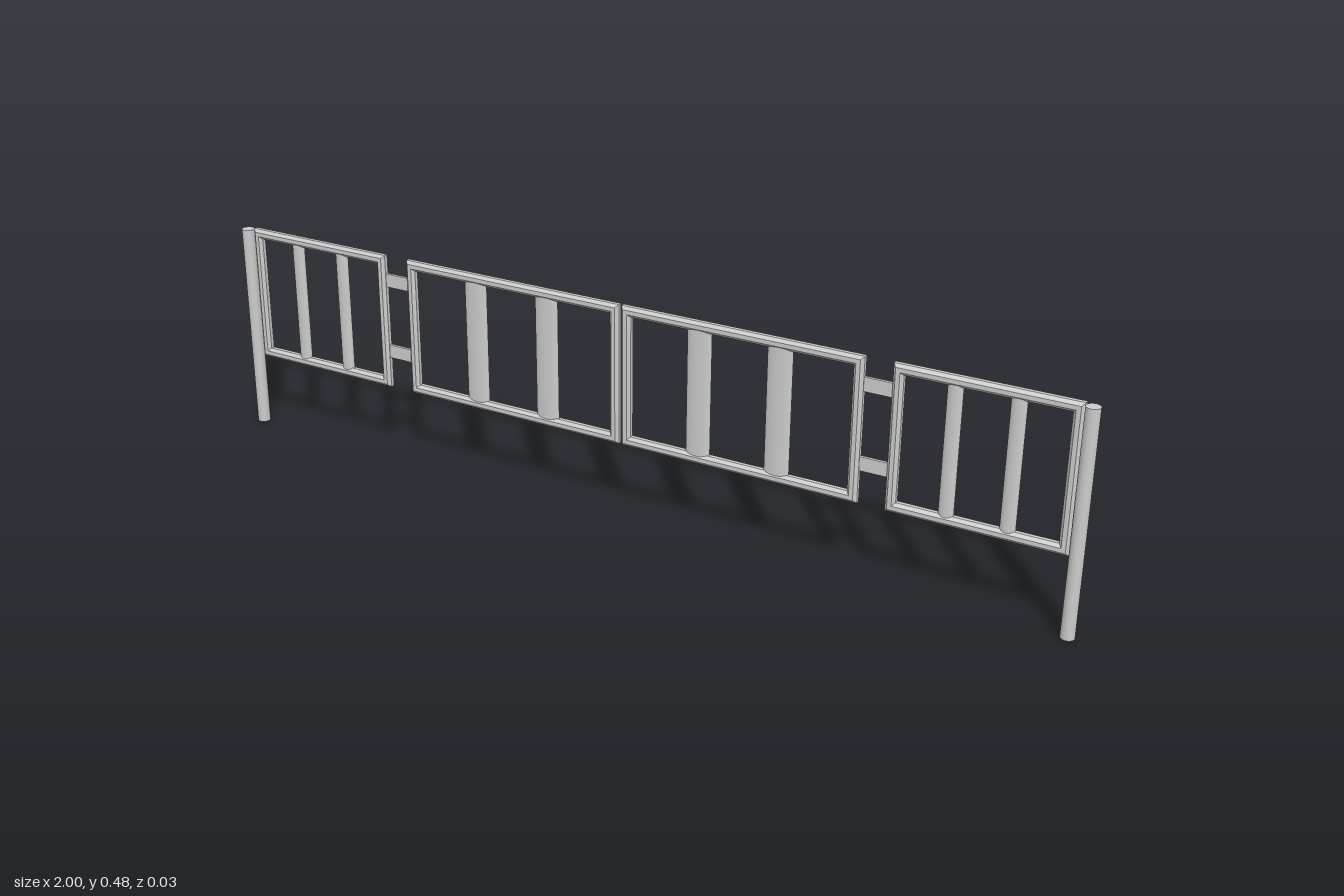
import * as THREE from 'three';

const FRAME_Z = -0.0063;   // plane of the panels, slightly behind the posts
const TUBE = 0.011;        // half thickness of the frame tube
const BOTTOM = 0.167, TOP = 0.479;
const MID_Y = (BOTTOM + TOP) / 2;

const smooth = new THREE.MeshStandardMaterial({ color: 0xcccccc });
const faceted = new THREE.MeshStandardMaterial({ color: 0xcccccc, flatShading: true });

function addMesh(parent, name, geometry, material, x, y, z) {
  const mesh = new THREE.Mesh(geometry, material);
  mesh.name = name;
  mesh.position.set(x, y, z);
  parent.add(mesh);
  return mesh;
}

// Rectangular ring of octagonal tube with mitred corners
function frameGeometry(width, height) {
  const sides = 8;
  const geometry = new THREE.TorusGeometry(1, 0.1, sides, 4);
  const pos = geometry.attributes.position;
  const r = TUBE / Math.cos(Math.PI / sides);
  for (let j = 0; j <= sides; j++) {
    const v = ((j + 0.5) / sides) * Math.PI * 2;
    for (let i = 0; i <= 4; i++) {
      const u = Math.PI / 4 + (i * Math.PI) / 2;
      const out = r * Math.cos(v) - TUBE;
      pos.setXYZ(
        j * 5 + i,
        Math.sign(Math.cos(u)) * (width / 2 + out),
        Math.sign(Math.sin(u)) * (height / 2 + out),
        r * Math.sin(v)
      );
    }
  }
  const flat = geometry.toNonIndexed();
  flat.computeVertexNormals();
  return flat;
}

// Framed panel with two flattened uprights dividing it into thirds
function makePanel(name, x0, x1, barWidth, barDepth) {
  const panel = new THREE.Group();
  panel.name = name;
  const width = x1 - x0;
  panel.position.set((x0 + x1) / 2, MID_Y, FRAME_Z);
  addMesh(panel, 'panelFrame', frameGeometry(width, TOP - BOTTOM), faceted, 0, 0, 0);
  for (const side of [-1, 1]) {
    const bar = new THREE.CylinderGeometry(1, 1, TOP - BOTTOM - 2 * TUBE, 16, 1, true);
    bar.scale(barWidth / 2, 1, barDepth / 2);
    addMesh(panel, 'upright', bar, smooth, (side * width) / 6, 0, 0);
  }
  return panel;
}

export function createModel() {
  const model = new THREE.Group();
  model.name = 'railing';

  for (const side of [-1, 1]) {
    const label = side > 0 ? 'left' : 'right';
    const span = (a, b) => (side > 0 ? [a, b] : [-b, -a]);

    // End post standing on the ground
    addMesh(model, label + 'Post', new THREE.CylinderGeometry(0.0145, 0.0145, 0.477, 16),
      smooth, side * 0.9855, 0.2385, 0.0028);

    // Wide inner panel and narrow outer panel
    model.add(makePanel(label + 'InnerPanel', ...span(0.003, 0.541), 0.056, 0.018));
    model.add(makePanel(label + 'OuterPanel', ...span(0.6, 0.971), 0.032, 0.018));

    // Flat straps joining the two panels
    for (const y of [0.253, 0.421]) {
      addMesh(model, label + 'Strap', new THREE.BoxGeometry(0.08, 0.03, 0.007),
        smooth, side * 0.5705, y, FRAME_Z);
    }
  }
  return model;
}
